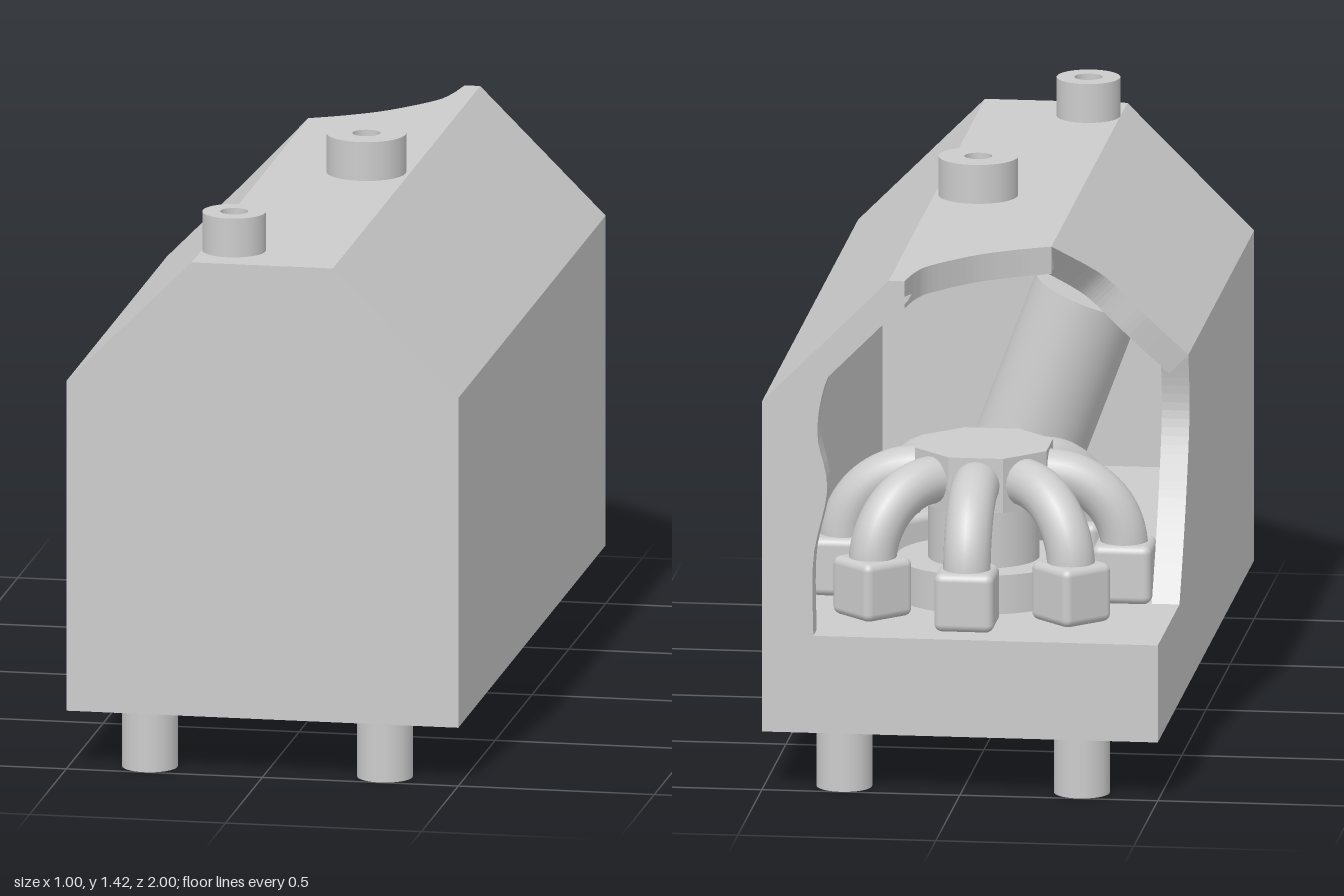
import * as THREE from 'three';
import { RoundedBoxGeometry } from 'three/addons/geometries/RoundedBoxGeometry.js';

const T = 0.07; // wall thickness
const material = new THREE.MeshStandardMaterial({ color: 0xcccccc, side: THREE.DoubleSide });

function add(parent, name, geometry, x = 0, y = 0, z = 0) {
  const mesh = new THREE.Mesh(geometry, material);
  mesh.name = name;
  mesh.position.set(x, y, z);
  parent.add(mesh);
  return mesh;
}

// Wall outline: straight points, then an optional wavy cut line, then straight points
function wall(before, cut = [], after = []) {
  const v = (p) => new THREE.Vector2(...p);
  const pts = before.map(v);
  if (cut.length) pts.push(...new THREE.SplineCurve(cut.map(v)).getPoints(32));
  pts.push(...after.map(v));
  return new THREE.ExtrudeGeometry(new THREE.Shape(pts), { depth: T, bevelEnabled: false });
}

// Cross-section of the housing, from the left foot over the roof to the right foot
const profile = [[0.5, 0.15], [0.5, 1], [0.18, 1.32], [-0.18, 1.32], [-0.5, 1], [-0.5, 0.15]];

function buildShell() {
  const shell = new THREE.Group();
  shell.name = 'housing';

  // End walls; the back one is broken open
  add(shell, 'frontWall', wall(profile), 0, 0, 1 - T);
  add(shell, 'backWall', wall(
    [[-0.5, 0.4], [-0.5, 0.15], [0.5, 0.15], [0.5, 1], [0.18, 1.32]],
    [[0.14, 1.32], [0.22, 1.22], [0.29, 1.13], [0.34, 1.05], [0.36, 0.92], [0.335, 0.78], [0.37, 0.6], [0.37, 0.4]],
  ), 0, 0, -1);

  // Long panels, drawn in (z, distance along the profile)
  const len = (i) => Math.hypot(profile[i + 1][0] - profile[i][0], profile[i + 1][1] - profile[i][1]);
  const full = (i) => wall([[1, 0], [-1, 0], [-1, len(i)], [1, len(i)]]);
  const panels = [
    ['leftWall', full(0)],
    ['leftRoofSlope', full(1)],
    ['roofTop', wall([[1, 0], [-1, 0]],
      [[-1, 0.04], [-0.9, 0.055], [-0.82, 0.085], [-0.7, 0.18], [-0.63, 0.27], [-0.58, 0.36]], [[1, 0.36]])],
    ['rightRoofSlope', wall([[1, 0]],
      [[-0.58, 0], [-0.45, 0.113], [-0.4, 0.184], [-0.39, 0.311], [-0.365, len(3)]], [[1, len(3)]])],
    ['rightWall', wall([[1, 0]],
      [[-0.365, 0], [-0.34, 0.15], [-0.395, 0.32], [-0.47, 0.47], [-0.55, 0.6]],
      [[-1, 0.6], [-1, 0.85], [1, 0.85]])],
  ];
  panels.forEach(([name, geometry], i) => {
    const [x, y] = profile[i];
    const u = new THREE.Vector3(0, 0, 1);
    const v = new THREE.Vector3(profile[i + 1][0] - x, profile[i + 1][1] - y, 0).normalize();
    const m = new THREE.Matrix4().makeBasis(u, v, u.clone().cross(v)).setPosition(x, y, 0);
    add(shell, name, geometry.applyMatrix4(m));
  });

  // Raised floor over the open underside
  add(shell, 'floor', new THREE.BoxGeometry(0.98, T, 1.98), 0, 0.365, 0);
  return shell;
}

// Central hub with eight pipes bending down into square sockets
function buildManifold() {
  const hub = new THREE.Group();
  hub.name = 'manifold';
  hub.position.set(0, 0.4, -0.5);
  add(hub, 'hubBase', new THREE.CylinderGeometry(0.22, 0.22, 0.1, 40), 0, 0.05, 0);
  add(hub, 'hubColumn', new THREE.CylinderGeometry(0.14, 0.14, 0.2, 40), 0, 0.18, 0);
  const head = new THREE.CylinderGeometry(0.18, 0.18, 0.14, 8).toNonIndexed();
  head.computeVertexNormals();
  add(hub, 'hubHead', head, 0, 0.32, 0).rotation.y = Math.PI / 8;
  for (let i = 0; i < 8; i++) {
    const arm = new THREE.Group();
    arm.name = 'pipeArm';
    arm.rotation.y = (i * Math.PI) / 4;
    add(arm, 'pipe', new THREE.TorusGeometry(0.19, 0.06, 20, 20, Math.PI / 2), 0.165, 0.13, 0);
    add(arm, 'socket', new RoundedBoxGeometry(0.15, 0.15, 0.15, 3, 0.02), 0.355, 0.075, 0);
    hub.add(arm);
  }
  return hub;
}

// Short hollow stack on the roof
function stack(radius) {
  const ring = new THREE.Shape().absarc(0, 0, radius, 0, Math.PI * 2);
  ring.holes.push(new THREE.Path().absarc(0, 0, 0.035, 0, Math.PI * 2, true));
  return new THREE.ExtrudeGeometry(ring, { depth: 0.1, bevelEnabled: false, curveSegments: 48 }).rotateX(-Math.PI / 2);
}

export function createModel() {
  const model = new THREE.Group();
  model.name = 'generatorHousing';
  model.add(buildShell(), buildManifold());

  // Leaning duct behind the manifold
  const duct = add(model, 'duct', new THREE.CylinderGeometry(0.14, 0.14, 0.7, 40), -0.08, 0.74, 0);
  duct.rotation.z = 0.36;

  add(model, 'frontStack', stack(0.08), -0.1, 1.32, 0.85);
  add(model, 'middleStack', stack(0.1), 0.07, 1.32, -0.04);

  // Legs reach up to the floor
  for (const x of [-0.3, 0.3]) {
    for (const z of [-0.93, 0.93]) {
      add(model, 'leg', new THREE.CylinderGeometry(0.07, 0.07, 0.34, 32), x, 0.17, z);
    }
  }
  return model;
}
